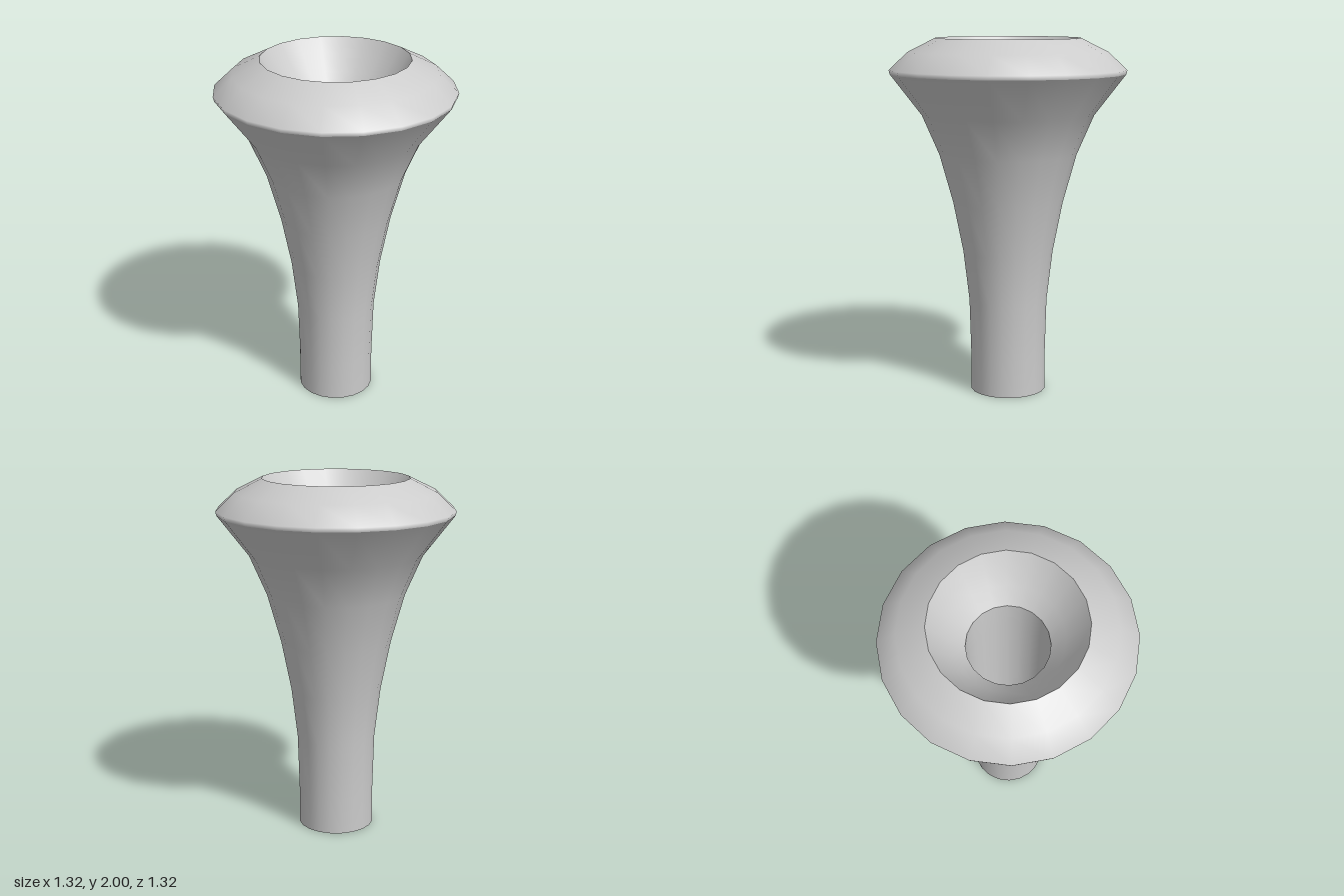
import * as THREE from 'three';

const SIDES = 20;

export function createModel() {
  const group = new THREE.Group();
  const material = new THREE.MeshStandardMaterial({ color: 0xcccccc, side: THREE.DoubleSide });

  // Each section is turned separately so the edges between sections stay sharp.
  // Profiles rise on outer surfaces and descend on inner ones.
  function turn(name, profile) {
    const points = profile.map(([r, y]) => new THREE.Vector2(r, y));
    const mesh = new THREE.Mesh(new THREE.LatheGeometry(points, SIDES), material);
    mesh.name = name;
    group.add(mesh);
  }

  // Flared outer body with a straight lower shank
  turn('flaredBody', [
    [0.213, 0], [0.213, 0.21], [0.222, 0.53], [0.255, 0.81], [0.31, 1.09],
    [0.385, 1.36], [0.48, 1.58], [0.652, 1.805],
  ]);

  // Rounded rim around the mouth
  turn('rim', [[0.652, 1.805], [0.658, 1.828], [0.555, 1.925], [0.405, 2]]);

  // Funnel-shaped cup inside the rim
  turn('cup', [[0.405, 2], [0.355, 1.92], [0.29, 1.835], [0.217, 1.75]]);

  // Bore from the cup through to the open bottom
  turn('bore', [[0.217, 1.75], [0.211, 1.5], [0.21, 0]]);

  return group;
}
